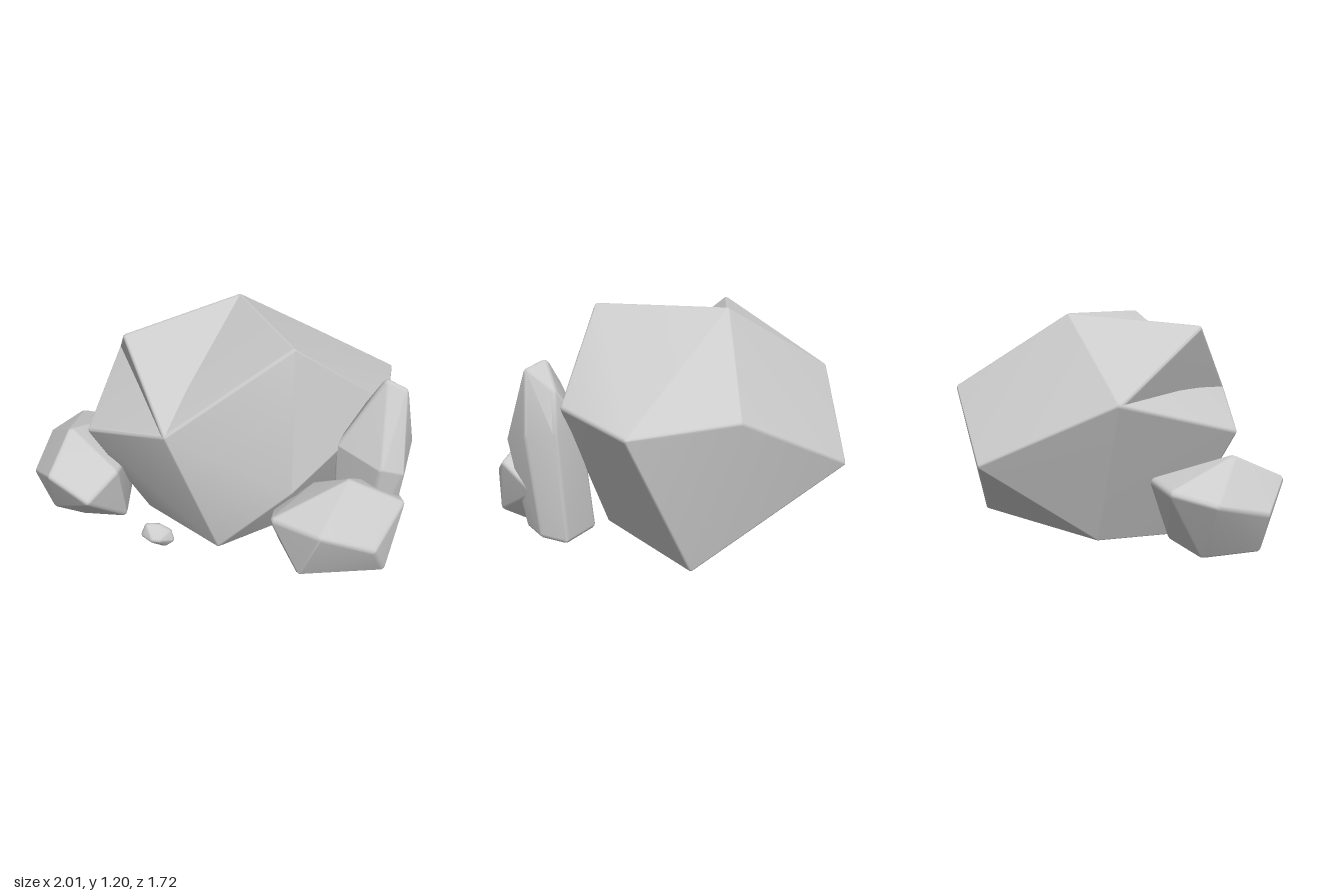
import * as THREE from 'three';
import { ConvexGeometry } from 'three/addons/geometries/ConvexGeometry.js';
import { mergeVertices } from 'three/addons/utils/BufferGeometryUtils.js';

const material = new THREE.MeshStandardMaterial({ color: 0xcccccc });

// A convex rock with softly rounded edges: the hull of a small ball at every corner,
// each ball set in towards the given centre
function rock(name, corners, radius, centre) {
  const middle = new THREE.Vector3(...centre);
  const ball = mergeVertices(new THREE.IcosahedronGeometry(radius, 1)
    .deleteAttribute('normal').deleteAttribute('uv')).getAttribute('position');
  const cloud = [];
  for (const corner of corners) {
    const p = new THREE.Vector3(...corner);
    const inset = middle.clone().sub(p).setLength(radius * 1.1).add(p);
    for (let i = 0; i < ball.count; i++) {
      cloud.push(new THREE.Vector3().fromBufferAttribute(ball, i).add(inset));
    }
  }
  // Area-weighted normals keep the large facets flat and the edges soft
  let geometry = new ConvexGeometry(cloud);
  geometry.deleteAttribute('normal');
  geometry = mergeVertices(geometry, 1e-5);
  geometry.computeVertexNormals();
  const mesh = new THREE.Mesh(geometry, material);
  mesh.name = name;
  return mesh;
}

export function createModel() {
  const group = new THREE.Group();
  group.name = 'rockCluster';

  // Main boulder: a convex body plus a raised corner, which leaves two shallow hollows
  const boulderCentre = [0.1, 0.55, 0];
  const crown = [0.12, 1.2, -0.23];
  const frontCorner = [-0.24, 0.78, 0.58];
  const backCorner = [-0.57, 0.8, -0.42];
  group.add(rock('mainBoulder', [
    crown, frontCorner, backCorner, [0.38, 1.19, 0.44],
    // middle
    [-0.67, 0.62, 0.25], [0, 0.47, -0.86], [0.61, 0.79, -0.65],
    [0.99, 0.74, -0.3], [0.89, 0.78, 0.2], [0.39, 0.48, 0.6],
    // underside
    [0.02, 0.06, 0.5], [-0.38, 0.04, 0.12], [-0.27, 0.06, -0.33],
    [0.7, 0.04, -0.43], [0.62, 0.11, 0.17], [0.18, 0, -0.03],
  ], 0.018, boulderCentre));
  group.add(rock('boulderCorner',
    [[-0.46, 1.14, 0.19], crown, frontCorner, backCorner], 0.018, boulderCentre));

  group.add(rock('sideRock', [
    [-0.8, 0.54, 0.1], [-0.6, 0.46, 0], [-0.87, 0.4, 0.38], [-0.66, 0.3, 0.47],
    [-0.52, 0.4, 0.33], [-1.01, 0.28, 0.14], [-0.96, 0.36, -0.17], [-0.8, 0.41, -0.31],
    [-0.58, 0.42, -0.24], [-0.47, 0.36, 0.05], [-0.91, 0.07, 0.18], [-0.73, 0.05, 0.22],
    [-0.5, 0.07, 0.25], [-0.5, 0.08, -0.05], [-0.79, 0.06, -0.1],
  ], 0.028, [-0.73, 0.28, 0.08]));

  group.add(rock('frontRock', [
    [0.66, 0.59, 0.62], [0.5, 0.41, 0.86], [0.28, 0.41, 0.72], [0.29, 0.38, 0.62],
    [0.79, 0.3, 0.82], [0.95, 0.43, 0.58], [0.86, 0.12, 0.72], [0.42, 0.12, 0.77],
    [0.34, 0.18, 0.6], [0.85, 0.11, 0.5], [0.5, 0.12, 0.5], [0.5, 0.47, 0.48],
    [0.8, 0.45, 0.42], [0.96, 0.33, 0.36],
  ], 0.026, [0.62, 0.3, 0.62]));

  group.add(rock('tallShard', [
    // tip
    [0.85, 0.99, 0.34], [0.93, 0.96, 0.37], [0.89, 0.87, 0.24], [0.77, 0.87, 0.34],
    // shoulder
    [1, 0.66, 0.33], [0.94, 0.68, 0.19], [0.78, 0.68, 0.19], [0.62, 0.66, 0.4],
    [0.82, 0.62, 0.58], [0.93, 0.58, 0.55],
    // base
    [0.95, 0.1, 0.3], [0.91, 0.09, 0.18], [0.72, 0.1, 0.19], [0.65, 0.1, 0.4],
    [0.78, 0.08, 0.52], [0.9, 0.1, 0.45], [0.86, 0.06, 0.26],
  ], 0.026, [0.83, 0.48, 0.36]));

  group.add(rock('pebble', [
    [-0.36, 0.2, 0.5], [-0.29, 0.2, 0.49], [-0.22, 0.15, 0.49], [-0.21, 0.1, 0.5],
    [-0.25, 0.06, 0.49], [-0.32, 0.075, 0.49], [-0.385, 0.14, 0.5], [-0.33, 0.14, 0.56],
    [-0.27, 0.13, 0.555], [-0.34, 0.15, 0.44], [-0.26, 0.12, 0.44],
  ], 0.022, [-0.3, 0.13, 0.5]));

  return group;
}
